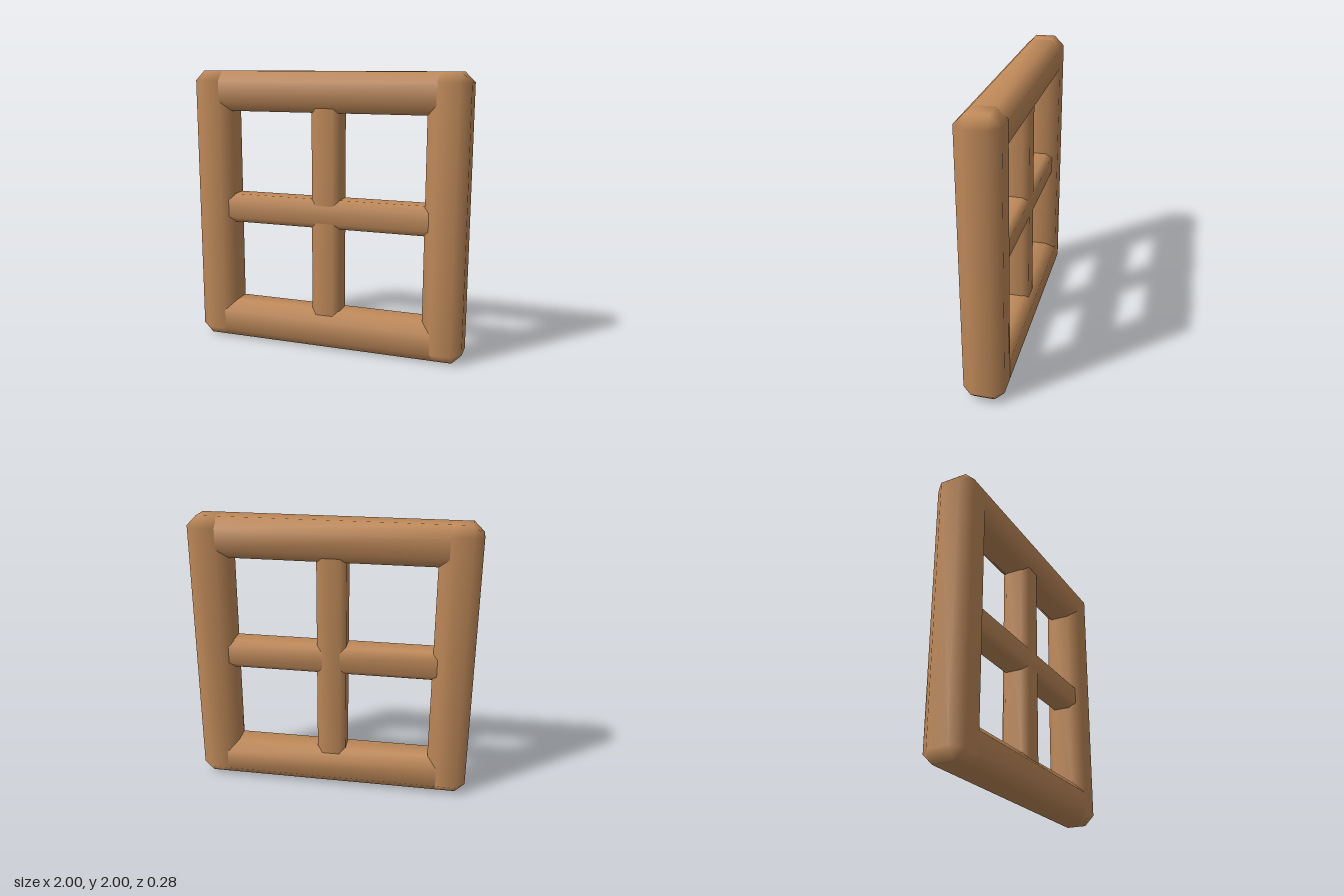
import * as THREE from 'three';
import { ConvexGeometry } from 'three/addons/geometries/ConvexGeometry.js';
import { mergeVertices } from 'three/addons/utils/BufferGeometryUtils.js';

const wood = new THREE.MeshStandardMaterial({ color: 0xc08a5a });

// Box with chamfered edges and corners, shaded smoothly across the chamfers
function chamferedBox(w, h, d, c) {
  const half = [w / 2, h / 2, d / 2];
  const points = [];
  for (const sx of [-1, 1]) for (const sy of [-1, 1]) for (const sz of [-1, 1]) {
    for (let axis = 0; axis < 3; axis++) {
      const [x, y, z] = half.map((v, i) => (i === axis ? v : v - c));
      points.push(new THREE.Vector3(sx * x, sy * y, sz * z));
    }
  }
  const hull = new ConvexGeometry(points);
  hull.deleteAttribute('normal');
  const geometry = mergeVertices(hull, 1e-4);
  geometry.computeVertexNormals();
  return geometry;
}

export function createModel() {
  const group = new THREE.Group();
  const frame = 0.285, frameChamfer = 0.07;
  const bar = 0.21, barChamfer = 0.042;
  const offset = 1 - frame / 2;

  function add(name, geometry, x, y) {
    const mesh = new THREE.Mesh(geometry, wood);
    mesh.name = name;
    mesh.position.set(x, y, 0);
    group.add(mesh);
  }

  // Outer frame: full-height stiles, with rails tucked into them
  const stile = chamferedBox(frame, 2, frame, frameChamfer);
  const rail = chamferedBox(1.72, frame, frame, frameChamfer);
  add('leftStile', stile, offset, 1);
  add('rightStile', stile, -offset, 1);
  add('topRail', rail, 0, 1 + offset);
  add('bottomRail', rail, 0, 1 - offset);

  // Crossing window bars, their ends buried in the frame
  add('verticalBar', chamferedBox(bar, 1.7, bar, barChamfer), 0, 1);
  add('horizontalBar', chamferedBox(1.7, bar, bar, barChamfer), 0, 1);

  return group;
}
